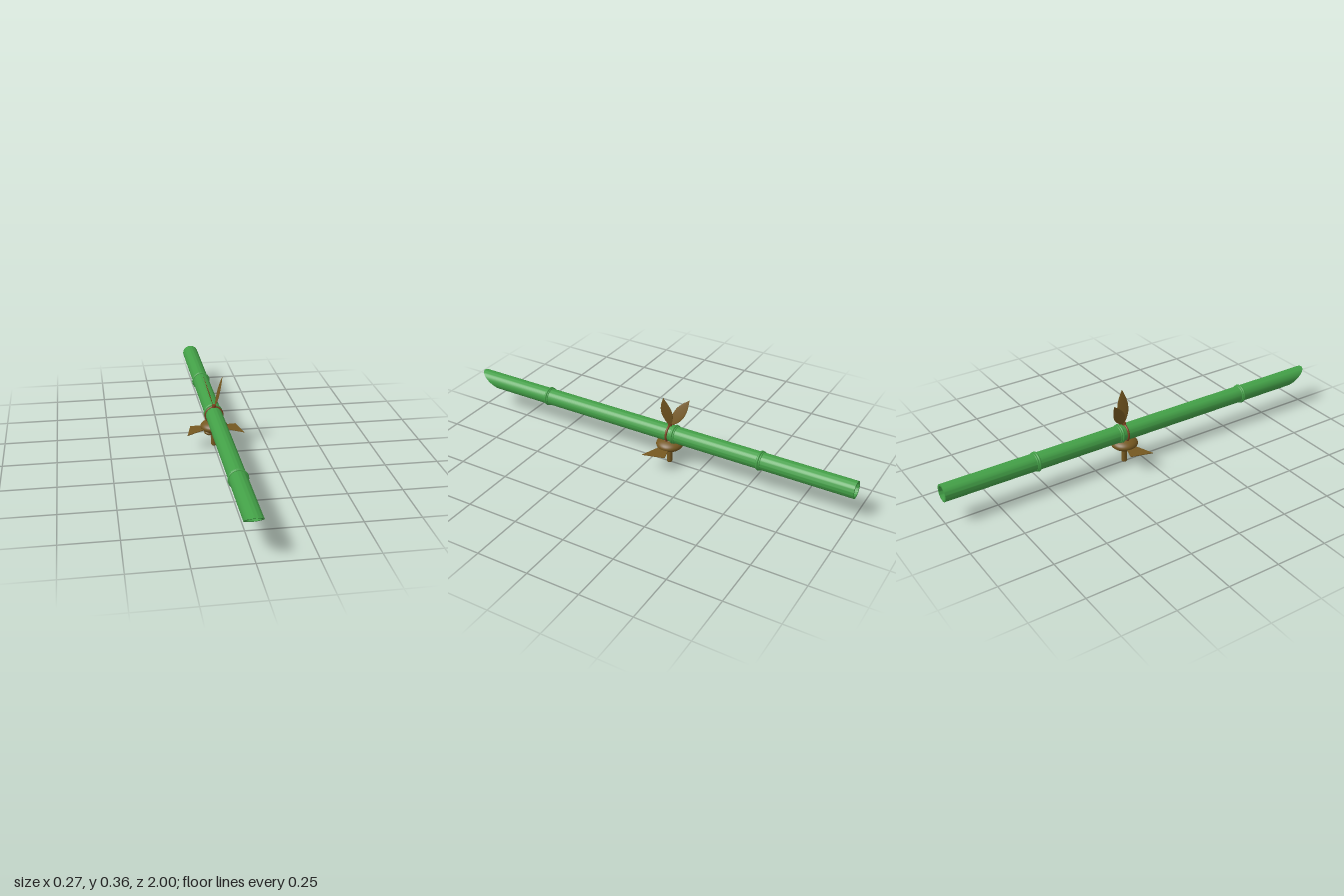
import * as THREE from 'three';
import { toCreasedNormals } from 'three/addons/utils/BufferGeometryUtils.js';

const mat = (name, color) => {
  const m = new THREE.MeshStandardMaterial({ color });
  m.name = name;
  return m;
};
const lathe = (pts, seg = 40) =>
  new THREE.LatheGeometry(pts.map(([r, y]) => new THREE.Vector2(r, y)), seg);

export function createModel() {
  const group = new THREE.Group();
  const green = mat('bambooGreen', 0x43a047);
  const brown = mat('woodBrown', 0x755820);
  const cord = mat('cordBrown', 0x7a4420);
  const CY = 0.156, R = 0.04, RI = 0.031, Z = -0.09;

  const add = (name, geo, m, x = 0, y = 0, z = 0) => {
    const mesh = new THREE.Mesh(geo, m);
    mesh.name = name;
    mesh.position.set(x, y, z);
    group.add(mesh);
    return mesh;
  };

  // Hollow pole along z, its front end sheared into a slanted cut
  let pole = lathe([[RI, 0.9], [RI, -1], [R, -1], [R, 0.9], [RI, 0.9]], 48);
  pole.rotateX(Math.PI / 2);
  const p = pole.attributes.position;
  for (let i = 0; i < p.count; i++) {
    if (p.getZ(i) > 0) p.setZ(i, 1 - (R - p.getY(i)) / (2 * R) * 0.115);
  }
  pole = toCreasedNormals(pole, 0.6);
  add('pole', pole, green, 0, CY).material.side = THREE.DoubleSide;

  // Raised double rings at the pole's joints
  for (const z of [0.59, -0.12, -0.555]) {
    add('jointRing', new THREE.TorusGeometry(R, 0.006, 10, 40), green, 0, CY, z + 0.004);
    add('jointRingRear', new THREE.TorusGeometry(R, 0.004, 8, 40), green, 0, CY, z - 0.006);
  }

  // Wall closing the bore behind the bowl
  const wall = new THREE.CylinderGeometry(RI + 0.002, RI + 0.002, 0.008, 40).rotateX(Math.PI / 2);
  add('innerWall', wall, green, 0, CY, -0.125);

  // Flattened round body under the pole, with a reddish cap reaching into the bore
  const body = new THREE.SphereGeometry(1, 40, 24).scale(0.065, 0.03, 0.064);
  add('body', body, brown, 0, 0.1, Z);
  const cap = new THREE.SphereGeometry(1, 32, 16).scale(0.036, 0.014, 0.036);
  add('bodyCap', cap, cord, 0, 0.12, Z);

  // Round stem with a bevelled foot
  const stem = lathe([[0, 0], [0.011, 0], [0.0135, 0.004], [0.0135, 0.09]], 24);
  add('stem', toCreasedNormals(stem, 0.5), brown, 0, 0, Z);

  // Cord tied round the pole, and the small knot on top
  add('cord', new THREE.TorusGeometry(0.0405, 0.0055, 10, 40), cord, 0, CY, Z);
  add('knot', new THREE.CylinderGeometry(0.009, 0.01, 0.016, 12), cord, 0, 0.2, Z);

  // Paired bumps and flared fins on the body
  for (const s of [1, -1]) {
    const bump = new THREE.SphereGeometry(1, 24, 16).scale(0.022, 0.013, 0.03);
    add('bump', bump, brown, s * 0.03, 0.078, -0.072).rotation.z = s * 0.2;

    const shape = new THREE.Shape();
    shape.moveTo(0.03, 0.105);
    shape.lineTo(0.11, 0.125);
    shape.lineTo(0.136, 0.02);
    shape.lineTo(0.03, 0.07);
    const fin = new THREE.ExtrudeGeometry(shape, { depth: 0.003, bevelEnabled: false });
    fin.rotateX(-Math.PI / 2);
    if (s < 0) fin.rotateZ(Math.PI).translate(0, 0.003, 0);
    const f = add('fin', fin, brown, 0, 0.096, 0);
    f.rotation.z = -s * 0.075;
  }

  // Two pointed leaves standing on the knot
  const leaf = (base, tip, width) => {
    const a = new THREE.Vector3(...base), axis = new THREE.Vector3(...tip).sub(a);
    const len = axis.length();
    const outline = [];
    for (let i = 0; i <= 12; i++) {
      const t = i / 12;
      outline.push([Math.sin(Math.PI * Math.pow(t, 0.9)) * width / 2 + (t < 0.5 ? 0.003 * (1 - t * 2) : 0), t * len]);
    }
    const geo = lathe(outline, 16).scale(0.09, 1, 1);
    const up = axis.normalize();
    const side = new THREE.Vector3().crossVectors(up, new THREE.Vector3(0, 0, 1)).normalize();
    const across = new THREE.Vector3().crossVectors(side, up);
    geo.applyMatrix4(new THREE.Matrix4().makeBasis(side, up, across));
    add('leaf', geo, brown, ...base);
  };
  leaf([0.004, 0.2, -0.09], [0.039, 0.357, -0.075], 0.06);
  leaf([-0.002, 0.2, -0.095], [-0.041, 0.331, -0.168], 0.055);

  return group;
}
